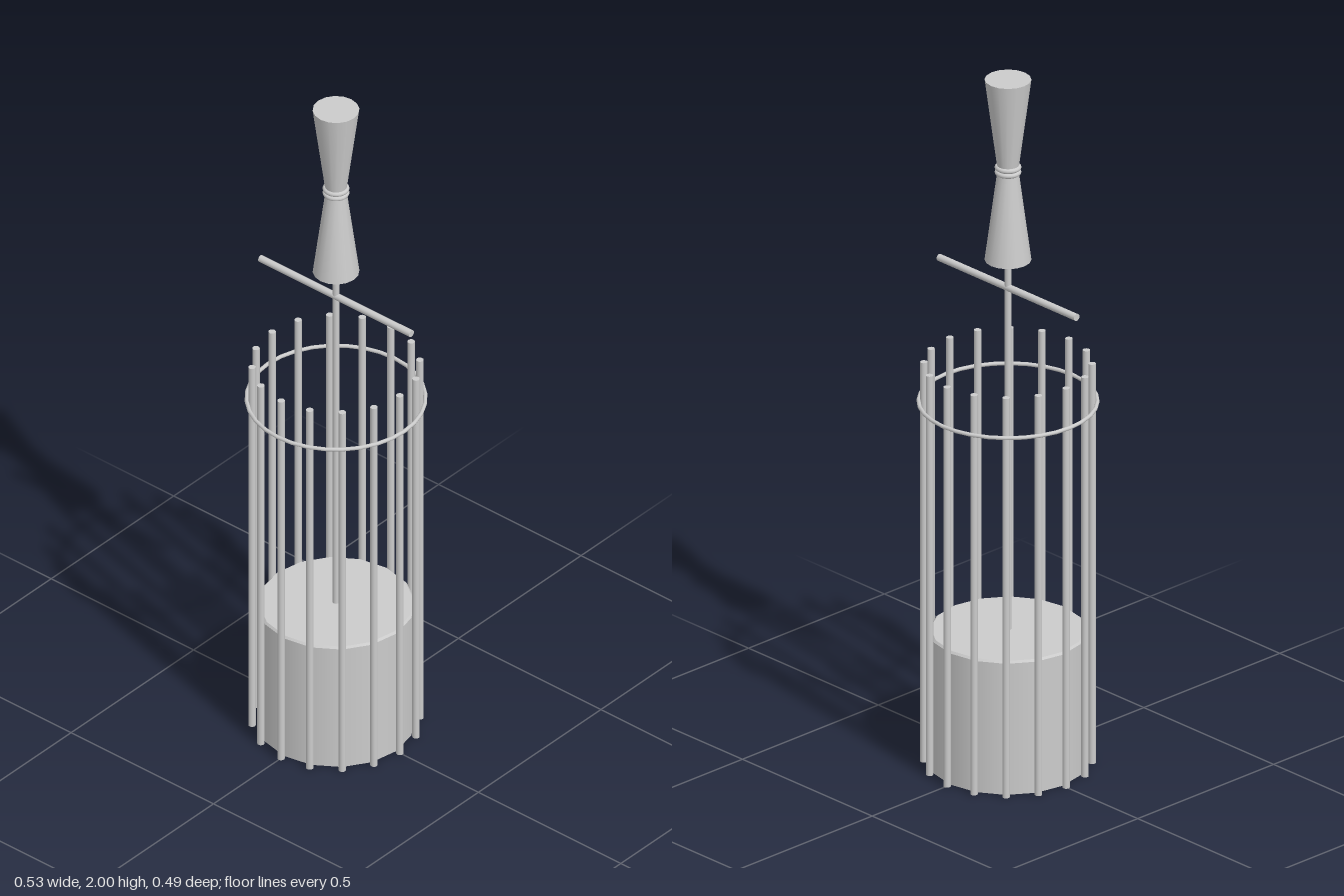
import * as THREE from 'three';

const material = new THREE.MeshStandardMaterial({ color: 0xcccccc });

export function createModel() {
  const model = new THREE.Group();

  function add(name, geometry, x = 0, y = 0, z = 0) {
    const mesh = new THREE.Mesh(geometry, material);
    mesh.name = name;
    mesh.position.set(x, y, z);
    model.add(mesh);
    return mesh;
  }

  // Upright cylinder or cone between two heights
  function column(name, rTop, rBottom, y0, y1, sides = 16, x = 0, z = 0) {
    return add(name, new THREE.CylinderGeometry(rTop, rBottom, y1 - y0, sides), x, (y0 + y1) / 2, z);
  }

  // Solid drum with a narrow chamfered rim
  column('drum', 0.211, 0.211, 0, 0.384);
  column('drumRim', 0.206, 0.211, 0.384, 0.39);

  // Cage of upright bars around the drum
  const barCount = 16;
  for (let i = 0; i < barCount; i++) {
    const a = (i / barCount) * Math.PI * 2;
    column('cageBar', 0.01, 0.01, 0, 1.17, 16, Math.sin(a) * 0.224, Math.cos(a) * 0.224);
  }

  // Hoop holding the bars
  const hoop = add('cageHoop', new THREE.TorusGeometry(0.2385, 0.0055, 10, 32), 0, 1.058, 0);
  hoop.rotation.x = Math.PI / 2;

  // Central rod and crossbar
  column('centralRod', 0.009, 0.009, 0.38, 1.48);
  const crossbar = column('crossbar', 0.01, 0.01, 1.39 - 0.265, 1.39 + 0.265);
  crossbar.rotation.z = Math.PI / 2;

  // Hourglass handle made of two cones
  column('lowerHandleCone', 0.028, 0.0625, 1.472, 1.736);
  column('upperHandleCone', 0.0625, 0.028, 1.736, 2);

  // Twin bands at the waist of the handle
  for (const y of [1.729, 1.743]) {
    const band = add('waistBand', new THREE.TorusGeometry(0.029, 0.007, 10, 24), 0, y, 0);
    band.rotation.x = Math.PI / 2;
  }

  return model;
}
